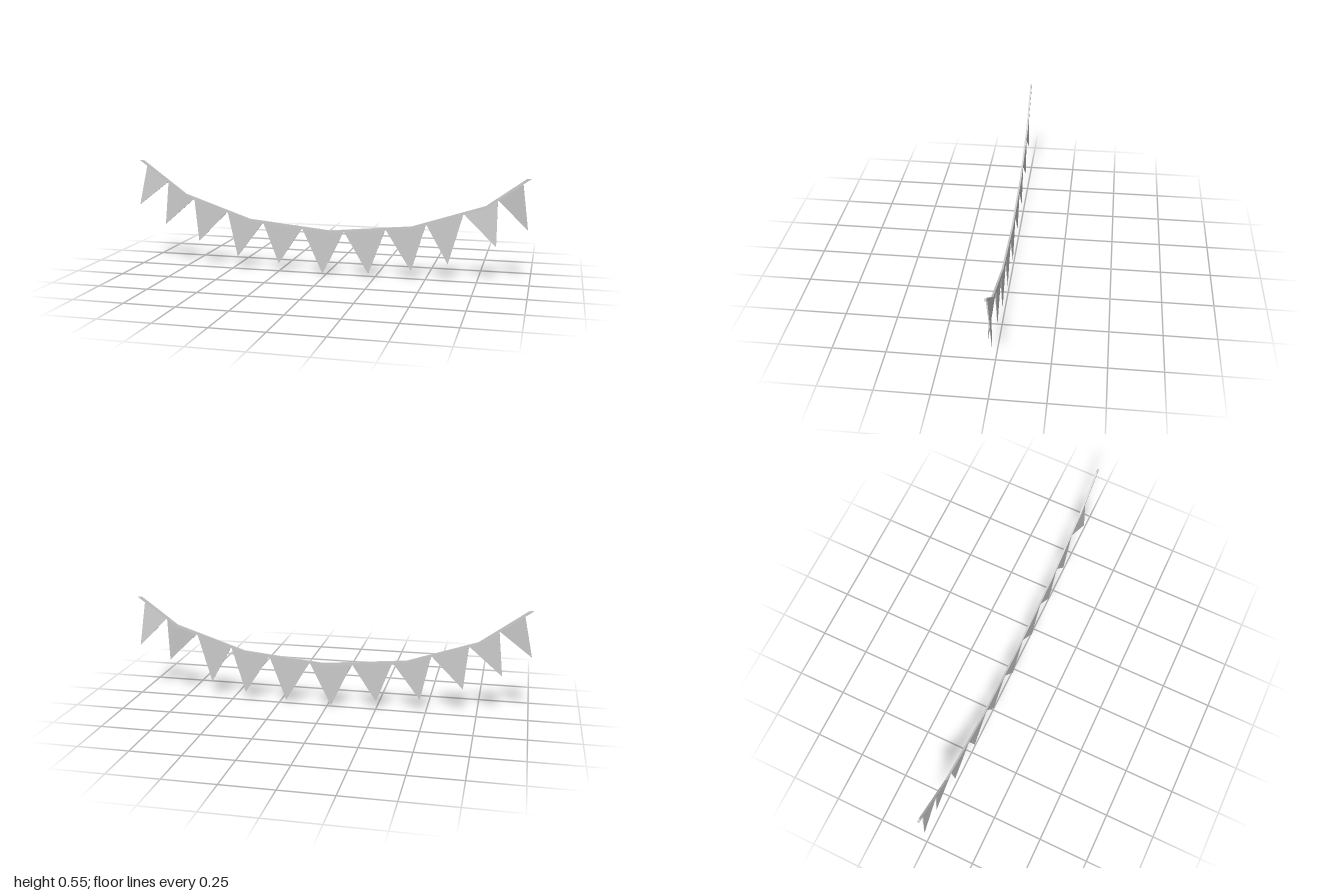
import * as THREE from 'three';

const Z = 0.006; // plane the garland hangs in

// upper edge of the sagging cord
const cord = [[-0.975, 0.553], [-0.745, 0.386], [-0.4, 0.27], [0.02, 0.23],
  [0.43, 0.27], [0.785, 0.386], [0.972, 0.523]];

// where neighbouring pennants meet along the cord
const joints = [-0.955, -0.84, -0.7, -0.52, -0.33, -0.125, 0.09, 0.3, 0.5, 0.68, 0.84, 0.955];

// lowest point of each pennant
const tips = [[-1, 0.32, 0.018], [-0.865, 0.22, 0.004], [-0.68, 0.14, 0.005], [-0.47, 0.07, 0.006],
  [-0.25, 0.045, 0.006], [-0.02, 0.005, 0.006], [0.215, 0.018, 0.006], [0.43, 0.045, 0.006],
  [0.61, 0.09, 0.008], [0.84, 0.19, 0.02], [0.985, 0.27, -0.018]];

function cordHeight(x) {
  let i = 0;
  while (i < cord.length - 2 && x > cord[i + 1][0]) i++;
  const [a, b] = [cord[i], cord[i + 1]];
  return a[1] + (b[1] - a[1]) * (x - a[0]) / (b[0] - a[0]);
}

// thin cloth wedge: two layers over the cord that meet at the tip
function pennantGeometry(x0, x1, tip) {
  const xs = [x0, ...cord.map(p => p[0]).filter(x => x > x0 && x < x1), x1];
  const half = 0.0035;
  const top = s => xs.map(x => [x, cordHeight(x) - 0.008, Z + s * half]);
  const front = top(1), back = top(-1), pos = [];
  const tri = (...pts) => pts.forEach(p => pos.push(...p));
  for (let i = 0; i < xs.length - 1; i++) {
    tri(tip, front[i + 1], front[i]);
    tri(tip, back[i], back[i + 1]);
    tri(front[i], front[i + 1], back[i + 1]);
    tri(front[i], back[i + 1], back[i]);
  }
  const n = xs.length - 1;
  tri(tip, front[0], back[0]);
  tri(tip, back[n], front[n]);
  const geo = new THREE.BufferGeometry();
  geo.setAttribute('position', new THREE.Float32BufferAttribute(pos, 3));
  geo.computeVertexNormals();
  return geo;
}

export function createModel() {
  const group = new THREE.Group();
  group.name = 'pennantGarland';
  const material = new THREE.MeshStandardMaterial({
    color: 0xcccccc, flatShading: true, side: THREE.DoubleSide,
  });

  // cord: flat-sided strip whose ends are cut level
  const last = cord.length - 1;
  const lower = cord.map(([x, y], i) =>
    i === 0 ? [x - 0.02, y] : i === last ? [x + 0.021, y] : [x, y - 0.013]);
  const outline = [...lower, ...[...cord].reverse()].map(p => new THREE.Vector2(...p));
  const cordGeo = new THREE.ExtrudeGeometry(new THREE.Shape(outline), { depth: 0.009, bevelEnabled: false });
  cordGeo.translate(0, 0, Z - 0.0045);
  const cordMesh = new THREE.Mesh(cordGeo, material);
  cordMesh.name = 'cord';
  group.add(cordMesh);

  // row of pennants
  tips.forEach((tip, i) => {
    const mesh = new THREE.Mesh(pennantGeometry(joints[i], joints[i + 1], tip), material);
    mesh.name = 'pennant' + (i + 1);
    group.add(mesh);
  });
  return group;
}
